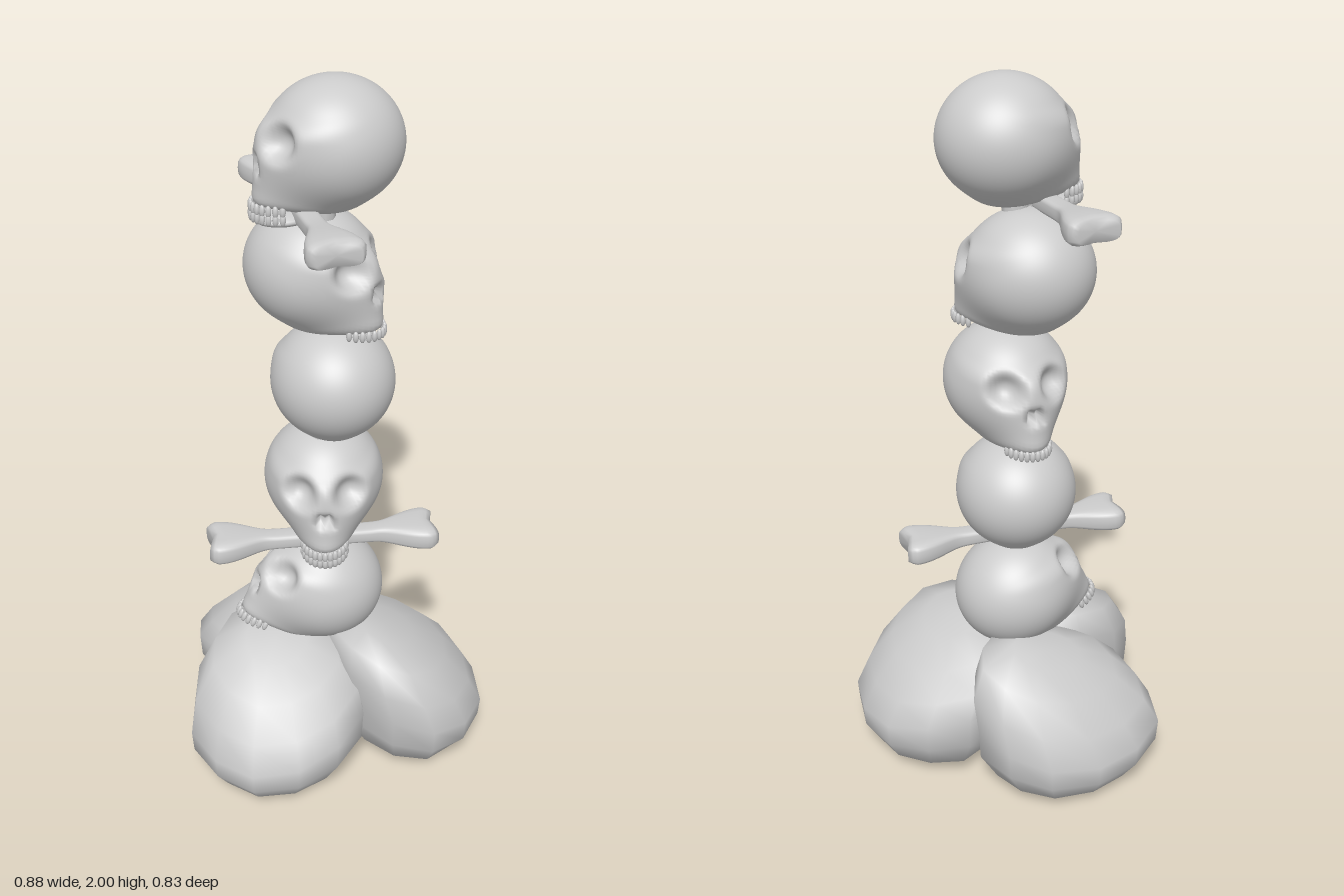
import * as THREE from 'three';
import { mergeVertices } from 'three/addons/utils/BufferGeometryUtils.js';

const material = new THREE.MeshStandardMaterial({ color: 0xcccccc });
const { smoothstep } = THREE.MathUtils;

function addMesh(parent, name, geometry, x = 0, y = 0, z = 0) {
  const mesh = new THREE.Mesh(geometry, material);
  mesh.name = name;
  mesh.position.set(x, y, z);
  parent.add(mesh);
  return mesh;
}

// Move every vertex by a rule, then weld seams and smooth the normals
function reshape(geometry, rule) {
  const pos = geometry.attributes.position;
  const v = new THREE.Vector3();
  for (let i = 0; i < pos.count; i++) {
    rule(v.fromBufferAttribute(pos, i));
    pos.setXYZ(i, v.x, v.y, v.z);
  }
  geometry.deleteAttribute('normal');
  geometry.deleteAttribute('uv');
  const welded = mergeVertices(geometry, 1e-5);
  welded.computeVertexNormals();
  return welded;
}

// Signed distance pieces for the skull
const smoothMin = (a, b, k) => {
  const h = Math.max(k - Math.abs(a - b), 0) / k;
  return Math.min(a, b) - h * h * k / 4;
};
const carve = (a, b, k) => -smoothMin(-a, b, k);
const ellipsoid = (x, y, z, rx, ry, rz) => (Math.hypot(x / rx, y / ry, z / rz) - 1) * Math.min(rx, ry, rz);

function skullDistance(p) {
  const x = Math.abs(p.x);
  let d = ellipsoid(x, p.y, p.z, 0.165, 0.162, 0.175);
  // face column: oval in plan, narrower and further forward at the jaw
  const half = THREE.MathUtils.clamp(0.1 + 0.2 * p.y, 0.062, 0.11);
  const front = 0.187 - 0.17 * p.y;
  const oval = (Math.hypot(x / half, (p.z - front + 0.12) / 0.12) - 1) * half;
  const face = carve(oval, 0.095 - Math.abs(p.y + 0.05), 0.03);
  d = smoothMin(d, face, 0.06);
  // eye sockets and nose
  d = carve(d, ellipsoid(x - 0.074, p.y - 0.035, p.z - 0.175, 0.045, 0.043, 0.056), 0.025);
  return carve(d, ellipsoid(x - 0.011, p.y + 0.03 + x * 0.6, p.z - 0.2, 0.013, 0.022, 0.03), 0.01);
}

function skullGeometry() {
  return reshape(new THREE.SphereGeometry(1, 96, 72), (v) => {
    const dir = v.clone().normalize();
    let far = 0.34;
    while (far > 0.05 && skullDistance(v.copy(dir).multiplyScalar(far)) > 0) far -= 0.004;
    let near = far;
    far += 0.004;
    for (let i = 0; i < 10; i++) {
      const mid = (near + far) / 2;
      if (skullDistance(v.copy(dir).multiplyScalar(mid)) > 0) far = mid; else near = mid;
    }
    v.copy(dir).multiplyScalar(near);
  });
}

// Row of teeth set on the curve of the jaw
function addTeeth(parent, geometry, y, name) {
  const count = 13;
  for (let i = 0; i < count; i++) {
    const a = (i / (count - 1) - 0.5) * 2.8;
    const tooth = addMesh(parent, name, geometry, 0.061 * Math.sin(a), y, 0.133 + 0.078 * Math.cos(a));
    tooth.rotation.y = a;
  }
}

// Long bone lying along x: thin shaft, flat flared ends split into two knuckles
function boneGeometry() {
  const square = (c) => Math.sign(c) * Math.abs(c) ** 0.55;
  return reshape(new THREE.CylinderGeometry(1, 1, 2, 24, 60), (v) => {
    const t = Math.abs(v.y);
    const side = square(v.z);
    const rounding = 1 - 0.22 * smoothstep(t, 0.92, 1) ** 2;
    const width = (0.028 + 0.045 * smoothstep(t, 0.5, 0.92)) * rounding;
    const height = (0.022 + 0.013 * smoothstep(t, 0.4, 0.9)) * rounding;
    const length = 0.304 + 0.018 * Math.abs(side) * smoothstep(t, 0.6, 1);
    v.set(v.y * length, -square(v.x) * height, side * width);
  });
}

// Boulder: blocky, sagging outward from the pole, its top highest on one side
function rockGeometry(rx, rz, angle, seed) {
  const c = Math.cos(angle), s = Math.sin(angle);
  return reshape(new THREE.SphereGeometry(1, 12, 8), (v) => {
    const p = 3.2;
    v.divideScalar((Math.hypot(v.x, v.z) ** p + Math.abs(v.y) ** p) ** (1 / p));
    const lump = 1 + 0.035 * Math.sin(5 * v.x + seed) * Math.cos(4 * v.z + 2 * seed);
    const up = Math.max(0, v.y);
    const scale = lump * (1 - 0.1 * up);
    const { x, y, z } = v;
    const outward = x * c + z * s;
    const along = z * c - x * s;
    v.x = x * rx * scale - up * (0.06 * c + 0.04 * s);
    v.z = z * rz * scale - up * (0.06 * s - 0.04 * c);
    v.y = 0.202 * y - (1 + Math.min(0, y)) * 0.06 * outward + up * 0.04 * (along - 0.2);
  });
}

export function createModel() {
  const group = new THREE.Group();
  group.name = 'skullTotem';

  // Pole through the stack
  addMesh(group, 'pole', new THREE.CylinderGeometry(0.035, 0.035, 1.78, 10), -0.015, 0.89, 0.02);

  // Boulders around the foot
  addMesh(group, 'rockRight', rockGeometry(0.248, 0.238, 2.4, 0.4), -0.193, 0.21, 0.173);
  addMesh(group, 'rockLeft', rockGeometry(0.225, 0.275, 0.4, 1.9), 0.212, 0.21, 0.115);
  addMesh(group, 'rockBack', rockGeometry(0.272, 0.205, 4.5, 3.1), -0.078, 0.21, -0.21);

  // Skulls: x, y, z, yaw, pitch, whether the lower jaw is present
  const skull = skullGeometry();
  const tooth = new THREE.SphereGeometry(1, 8, 6).scale(0.008, 0.016, 0.007);
  const jaw = new THREE.SphereGeometry(1, 24, 12).scale(0.064, 0.02, 0.078);
  const skulls = [
    [-0.015, 0.52, 0.025, -Math.PI / 2, -0.36, false],
    [0, 0.865, -0.015, -0.26, 0, true],
    [0.012, 1.187, 0.03, Math.PI, 0, false],
    [-0.035, 1.5, -0.02, Math.PI / 4, 0, false],
    [0.015, 1.838, 0.023, -Math.PI / 2, 0, true],
  ];
  for (const [x, y, z, yaw, pitch, hasJaw] of skulls) {
    const head = new THREE.Group();
    head.name = 'skull';
    head.position.set(x, y, z);
    head.rotation.set(pitch, yaw, 0, 'YXZ');
    addMesh(head, 'cranium', skull);
    addTeeth(head, tooth, -0.144, 'upperTooth');
    if (hasJaw) {
      addTeeth(head, tooth, -0.166, 'lowerTooth');
      addMesh(head, 'lowerJaw', jaw, 0, -0.176, 0.133);
    }
    group.add(head);
  }

  // Bones lying across the stack
  const bone = boneGeometry();
  const lower = addMesh(group, 'lowerBone', bone, -0.022, 0.695, 0.052);
  lower.rotation.set(0, -0.127, -0.02);
  const upper = addMesh(group, 'upperBone', bone, -0.075, 1.676, 0.017);
  upper.rotation.y = -Math.PI / 2 + 0.035;

  return group;
}
